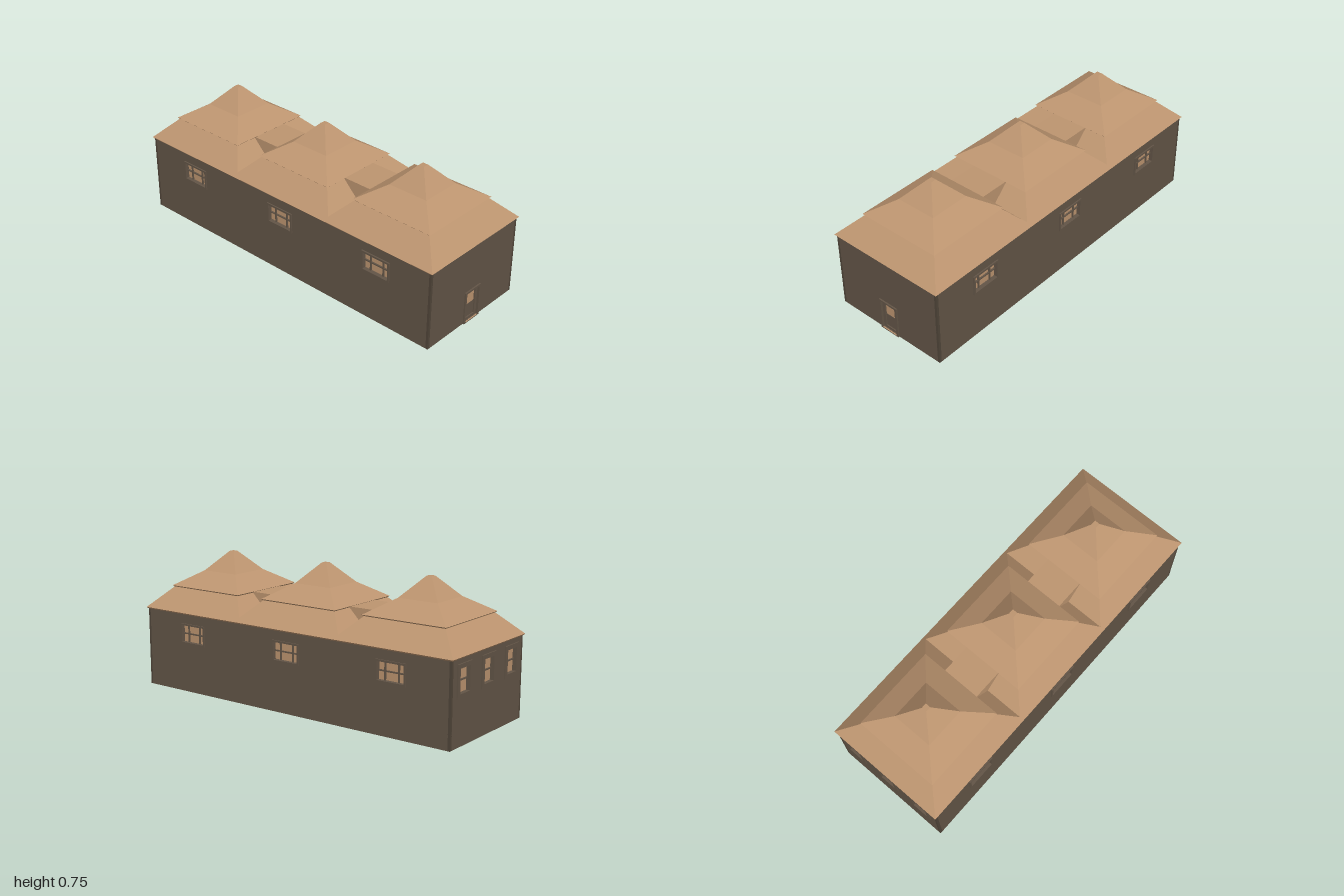
import * as THREE from 'three';
import { toCreasedNormals } from 'three/addons/utils/BufferGeometryUtils.js';

const mat = (name, color) => Object.assign(new THREE.MeshStandardMaterial({ color }), { name });

export function createModel() {
  const tan = mat('tan', 0xbd9570);
  const wallBrown = mat('wallBrown', 0x635547);
  const trimBrown = mat('trimBrown', 0x51463a);
  const model = new THREE.Group();
  model.name = 'longHall';

  const add = (parent, name, geo, material, x = 0, y = 0, z = 0) => {
    const m = new THREE.Mesh(geo, material);
    m.name = name;
    m.position.set(x, y, z);
    parent.add(m);
    return m;
  };
  const box = (parent, name, material, w, h, d, x, y, z) =>
    add(parent, name, new THREE.BoxGeometry(w, h, d), material, x, y, z);

  // Rectangle given as x0, y0, x1, y1
  const rect = (T, [x0, y0, x1, y1]) => {
    const p = new T();
    p.moveTo(x0, y0);
    p.lineTo(x1, y0);
    p.lineTo(x1, y1);
    p.lineTo(x0, y1);
    p.closePath();
    return p;
  };
  // Flat plate with rectangular holes, from z0 to z1
  const plate = (parent, name, material, outer, holes, z0, z1) => {
    const s = rect(THREE.Shape, outer);
    holes.forEach((h) => s.holes.push(rect(THREE.Path, h)));
    const geo = new THREE.ExtrudeGeometry(s, { depth: z1 - z0, bevelEnabled: false });
    return add(parent, name, geo, material, 0, 0, z0);
  };

  // Framed window on a wall whose outer face is at z = 0
  const windowUnit = (parent, cx, cy, hw, hh, border, cols) => {
    const g = new THREE.Group();
    g.name = 'window';
    g.position.set(cx, cy, 0);
    parent.add(g);
    const b = border;
    plate(g, 'windowFrame', wallBrown, [-hw - b, -hh - b, hw + b, hh + b], [[-hw, -hh, hw, hh]], -0.005, 0.007);
    box(g, 'windowPane', tan, hw * 2, hh * 2, 0.004, 0, 0, -0.018);
    box(g, 'windowBar', wallBrown, hw * 2, 0.007, 0.008, 0, 0, -0.012);
    cols.forEach((x) => box(g, 'windowBar', wallBrown, 0.007, hh * 2, 0.008, x, 0, -0.012));
  };

  // One wall with openings, turned to face its side
  const wall = (name, angle, dist, halfWidth, holes) => {
    const turn = new THREE.Group();
    turn.rotation.y = angle;
    turn.name = name;
    model.add(turn);
    const g = new THREE.Group();
    g.name = name + 'Face';
    g.position.z = dist;
    turn.add(g);
    plate(g, name + 'Panel', wallBrown, [-halfWidth, 0, halfWidth, 0.437], holes, -0.02, 0);
    return g;
  };
  const hole = (cx, cy, hw, hh) => [cx - hw, cy - hh, cx + hw, cy + hh];

  // Long side walls with three wide windows each
  const bays = [-0.652, 0, 0.652];
  for (const s of [-1, 1]) {
    const g = wall('sideWall', (s * Math.PI) / 2, 0.34, 0.977, bays.map((z) => hole(z, 0.327, 0.078, 0.047)));
    bays.forEach((z) => windowUnit(g, z, 0.327, 0.078, 0.047, 0.01, [-0.04, 0.04]));
  }

  // Back wall with three tall windows
  const backX = [-0.226, 0, 0.226];
  const back = wall('backWall', Math.PI, 0.99, 0.327, backX.map((x) => hole(x, 0.325, 0.045, 0.062)));
  backX.forEach((x) => windowUnit(back, x, 0.325, 0.045, 0.062, 0.022, []));

  // Front wall with the door
  const front = wall('frontWall', 0, 0.99, 0.327, [[-0.05, 0.005, 0.05, 0.175]]);
  plate(front, 'doorFrame', wallBrown, [-0.061, 0, 0.061, 0.185], [[-0.05, 0.003, 0.05, 0.175]], -0.005, 0.008);
  plate(front, 'door', wallBrown, [-0.05, 0.003, 0.05, 0.175], [[-0.033, 0.018, 0.033, 0.16]], -0.018, -0.004);
  box(front, 'doorPanel', wallBrown, 0.066, 0.075, 0.008, 0, 0.0555, -0.014);
  box(front, 'doorPane', tan, 0.066, 0.067, 0.006, 0, 0.1265, -0.015);
  box(front, 'doorSill', tan, 0.1, 0.003, 0.02, 0, 0.002, -0.004);

  // Corner posts
  for (const sx of [-1, 1]) for (const sz of [-1, 1])
    box(model, 'cornerPost', trimBrown, 0.014, 0.437, 0.014, sx * 0.333, 0.2185, sz * 0.983);

  box(model, 'floor', tan, 0.64, 0.008, 1.94, 0, 0.005, 0);

  // Three overlapping two-tier pyramid roofs
  const profile = [
    [0, 0.434], [0.341, 0.434], [0.348, 0.442], [0.235, 0.555],
    [0.243, 0.562], [0.115, 0.643], [0.015, 0.75], [0, 0.75],
  ].map(([half, y]) => new THREE.Vector2(half * Math.SQRT2, y));
  const roofGeo = toCreasedNormals(new THREE.LatheGeometry(profile, 4, Math.PI / 4), 0.1);
  bays.forEach((z) => add(model, 'pyramidRoof', roofGeo, tan, 0, 0, z));

  // Flat connectors bridging the valleys
  for (const s of [-1, 1])
    box(model, 'roofConnector', tan, 0.215, 0.11, 0.19, 0, 0.505, s * 0.326);

  return model;
}
